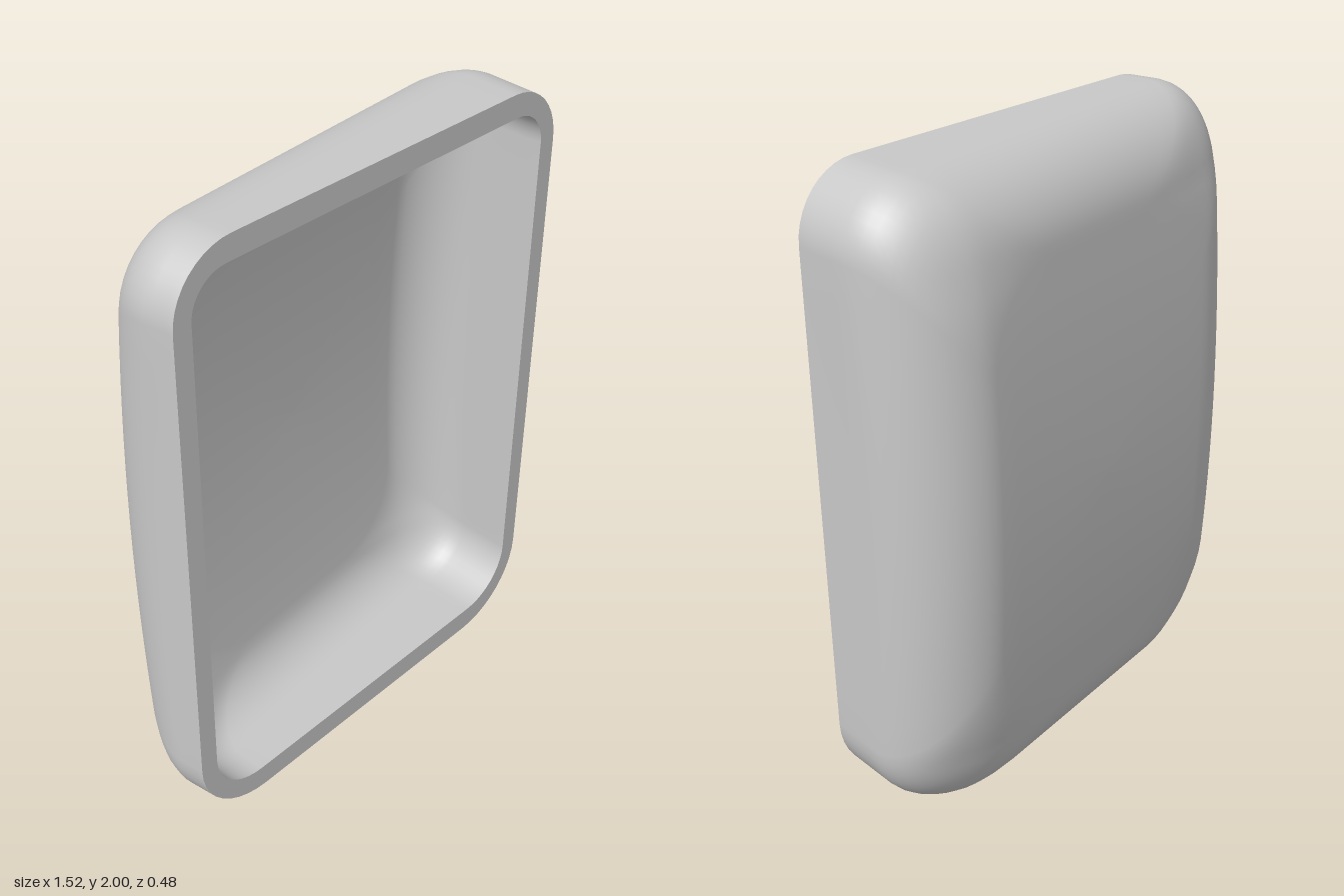
import * as THREE from 'three';

const RIM_Z = 0.237, CORNER = 10, EDGE = 14;
const clamp = THREE.MathUtils.clamp;

// Sloped back plane, slightly domed towards top and bottom
function backZ(x, y, thickness) {
  return -0.198 - 0.085 * clamp(x, -0.52, 0.52) + 0.065 * clamp(Math.abs(y - 1), 0, 0.75) ** 2 + thickness;
}

// Rounded rectangle, counter-clockwise, with evenly split edges
function outline(hw, y0, y1, rTop, rBottom) {
  const corners = [
    [hw - rBottom, y0 + rBottom, rBottom, -Math.PI / 2],
    [hw - rTop, y1 - rTop, rTop, 0],
    [-hw + rTop, y1 - rTop, rTop, Math.PI / 2],
    [-hw + rBottom, y0 + rBottom, rBottom, Math.PI],
  ];
  const arcs = corners.map(([cx, cy, r, a]) => Array.from({ length: CORNER + 1 }, (_, i) => {
    const t = a + (i / CORNER) * Math.PI / 2;
    return new THREE.Vector2(cx + r * Math.cos(t), cy + r * Math.sin(t));
  }));
  const pts = [];
  arcs.forEach((arc, k) => {
    pts.push(...arc);
    const next = arcs[(k + 1) % 4][0];
    for (let i = 1; i < EDGE; i++) pts.push(arc[CORNER].clone().lerp(next, i / EDGE));
  });
  return pts;
}

// Joins closed rings of points into one smooth surface
function loft(rings, outward) {
  const n = rings[0].length, pos = [], index = [];
  rings.forEach(ring => ring.forEach(p => pos.push(p.x, p.y, p.z)));
  for (let i = 0; i < rings.length - 1; i++) {
    for (let j = 0; j < n; j++) {
      const a = i * n + j, b = i * n + (j + 1) % n, c = a + n, d = b + n;
      if (outward) index.push(a, c, b, b, c, d);
      else index.push(a, b, c, b, d, c);
    }
  }
  const geo = new THREE.BufferGeometry();
  geo.setAttribute('position', new THREE.Float32BufferAttribute(pos, 3));
  geo.setIndex(index);
  geo.computeVertexNormals();
  return geo;
}

// Rings of a tray: wall, rounded fillet, then the closed back
function trayRings({ rimHw, hw, y0, y1, rTop, rBottom, fillet, thickness }) {
  const to3 = (pts, z) => pts.map(p => new THREE.Vector3(p.x, p.y, z(p)));
  const rim = to3(outline(rimHw, y0, y1, rTop, rBottom), () => RIM_Z);
  const curve = [];
  for (let i = 0; i <= 14; i++) {
    const a = (i / 14) * Math.PI / 2;
    const inset = fillet * (1 - Math.cos(a));
    const grow = 0.08 * (inset / fillet);
    const pts = outline(hw - inset, y0 + inset, y1 - inset, rTop + grow, rBottom + grow);
    curve.push(to3(pts, p => backZ(p.x, p.y, thickness) + fillet * (1 - Math.sin(a))));
  }
  const rings = [rim];
  for (let i = 1; i < 4; i++) rings.push(rim.map((p, j) => p.clone().lerp(curve[0][j], i / 4)));
  rings.push(...curve);
  const last = curve[curve.length - 1];
  for (const s of [0.85, 0.7, 0.5, 0.3, 0.1, 0.001]) {
    rings.push(last.map(p => {
      const x = p.x * s, y = 1 + (p.y - 1) * s;
      return new THREE.Vector3(x, y, backZ(x, y, thickness));
    }));
  }
  return rings;
}

export function createModel() {
  const group = new THREE.Group();
  const grey = new THREE.MeshStandardMaterial({ color: 0xc8c8c8 });
  grey.name = 'light grey';
  const add = (name, geo) => {
    const mesh = new THREE.Mesh(geo, grey);
    mesh.name = name;
    group.add(mesh);
  };

  const outer = trayRings({ rimHw: 0.745, hw: 0.76, y0: 0, y1: 2, rTop: 0.2, rBottom: 0.26, fillet: 0.26, thickness: 0 });
  const inner = trayRings({ rimHw: 0.685, hw: 0.688, y0: 0.08, y1: 1.925, rTop: 0.12, rBottom: 0.18, fillet: 0.19, thickness: 0.075 });

  add('outerShell', loft(outer, true));
  add('innerCavity', loft(inner, false));
  add('frontRim', loft([outer[0], inner[0]], false));
  return group;
}
